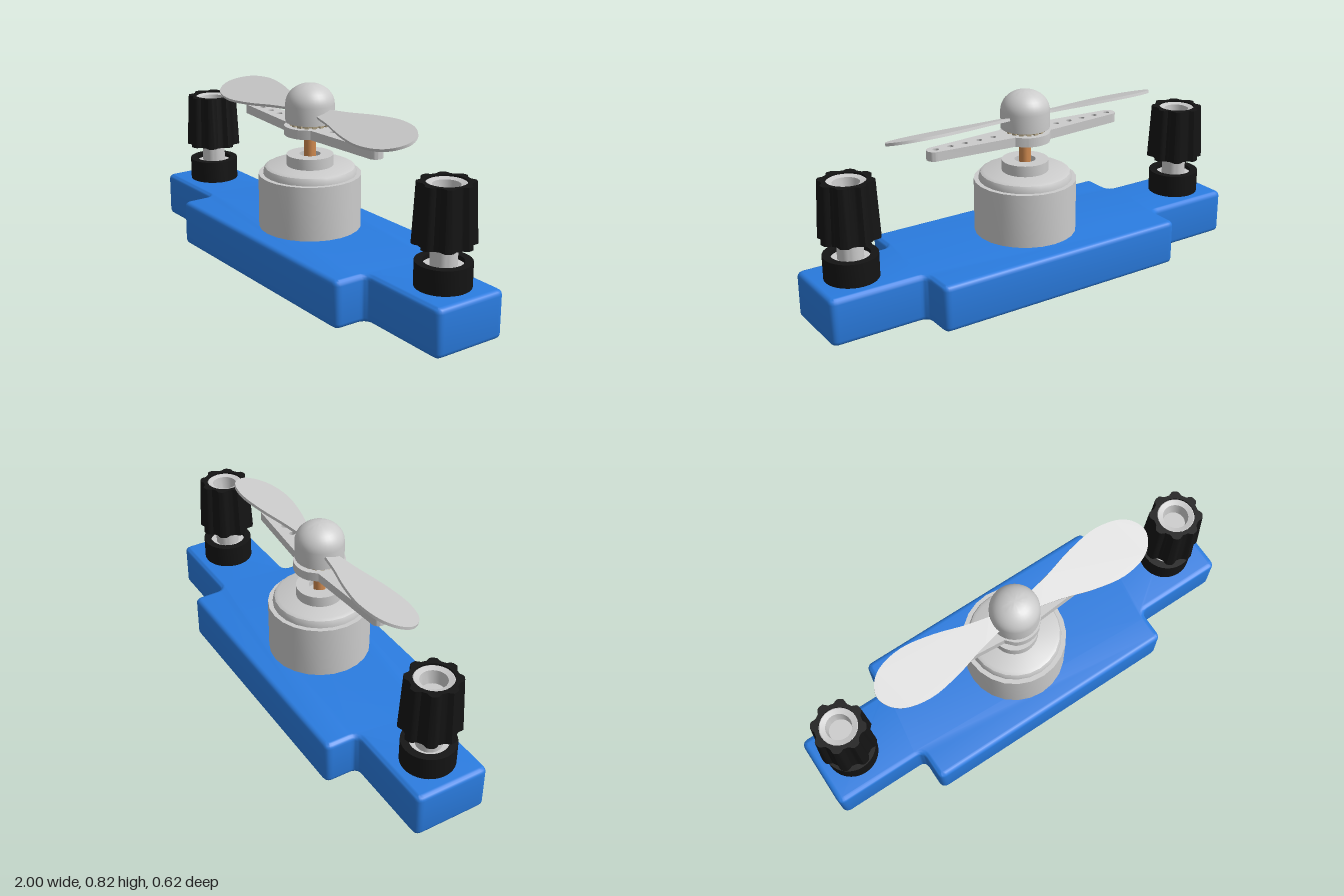
import * as THREE from 'three';
import { toCreasedNormals } from 'three/addons/utils/BufferGeometryUtils.js';

const material = (color) => new THREE.MeshStandardMaterial({ color });
const grey = material(0xcccccc);
const blue = material(0x2a7ce0);
const black = material(0x141414);
const copper = material(0xd08a50);
const brass = material(0xb8aa8c);

function part(name, geometry, mat, crease = 0.6) {
  const mesh = new THREE.Mesh(toCreasedNormals(geometry, crease), mat);
  mesh.name = name;
  return mesh;
}

function lathe(name, profile, mat, segments = 32) {
  const points = profile.map(([r, y]) => new THREE.Vector2(r, y));
  return part(name, new THREE.LatheGeometry(points, segments), mat);
}

// Flat plate lying in the xz plane, from y to y + height, with an optional bevel
function plate(shape, y, height, bevel = 0, curveSegments = 12) {
  return new THREE.ExtrudeGeometry(shape, {
    depth: height - 2 * bevel, curveSegments,
    bevelEnabled: bevel > 0, bevelSize: bevel, bevelThickness: bevel,
    bevelOffset: -bevel, bevelSegments: 4,
  }).rotateX(-Math.PI / 2).translate(0, y + bevel, 0);
}

// Polygon with every corner rounded off
function roundedPolygon(corners, radius) {
  const shape = new THREE.Shape();
  const pts = corners.map(([x, y]) => new THREE.Vector2(x, y));
  pts.forEach((p, i) => {
    const before = pts[(i + pts.length - 1) % pts.length];
    const after = pts[(i + 1) % pts.length];
    const a = before.clone().sub(p).setLength(radius).add(p);
    const b = after.clone().sub(p).setLength(radius).add(p);
    if (i === 0) shape.moveTo(a.x, a.y); else shape.lineTo(a.x, a.y);
    shape.quadraticCurveTo(p.x, p.y, b.x, b.y);
  });
  shape.closePath();
  return shape;
}

function circleHole(x, y, r) {
  const hole = new THREE.Path();
  hole.absarc(x, y, r, 0, Math.PI * 2, true);
  return hole;
}

function createBase() {
  const outline = roundedPolygon([
    [-1, -0.165], [-0.585, -0.165], [-0.585, -0.31], [0.585, -0.31],
    [0.585, -0.165], [1, -0.165], [1, 0.165], [0.585, 0.165],
    [0.585, 0.31], [-0.585, 0.31], [-0.585, 0.165], [-1, 0.165],
  ], 0.032);
  return part('base', plate(outline, 0, 0.2, 0.022, 5), blue, 1);
}

function createTerminal(x) {
  const group = new THREE.Group();
  group.name = 'terminal';
  group.position.set(x, 0, -0.005);

  group.add(lathe('collar', [[0.112, 0.19], [0.112, 0.3], [0.08, 0.3], [0.08, 0.28]], black));
  group.add(lathe('collarInsert', [[0.082, 0.282], [0.053, 0.282]], grey));
  group.add(lathe('post', [[0.053, 0.2], [0.053, 0.4]], grey));

  // Tapered cap with eight grip ribs
  const cap = new THREE.Shape();
  const steps = 96;
  for (let i = 0; i < steps; i++) {
    const a = (i / steps) * Math.PI * 2;
    const wave = Math.cos(8 * (a - 0.18));
    const r = 0.116 + 0.009 * Math.max(-1, Math.min(1, wave * 1.6));
    if (i === 0) cap.moveTo(r, 0);
    else cap.lineTo(r * Math.cos(a), r * Math.sin(a));
  }
  cap.closePath();
  cap.holes.push(circleHole(0, 0, 0.088));
  const geometry = plate(cap, 0.37, 0.24);
  const pos = geometry.attributes.position;
  for (let i = 0; i < pos.count; i++) {
    const s = 1 - 0.1 * (pos.getY(i) - 0.37) / 0.24;
    pos.setX(i, pos.getX(i) * s);
    pos.setZ(i, pos.getZ(i) * s);
  }
  group.add(part('cap', geometry, black));
  group.add(lathe('capFloor', [[0, 0.372], [0.092, 0.372], [0.092, 0.38]], black));
  group.add(lathe('socket', [
    [0.082, 0.6], [0.076, 0.604], [0.054, 0.598], [0.048, 0.54], [0, 0.54],
  ], grey));
  return group;
}

function createMotor() {
  const group = new THREE.Group();
  group.name = 'motor';
  group.add(lathe('motorCan', [
    [0.22, 0.19], [0.22, 0.434], [0.2, 0.434], [0.198, 0.45],
    [0.192, 0.463], [0.178, 0.47], [0, 0.47],
  ], grey, 24));
  group.add(lathe('bearing', [[0.1, 0.465], [0.1, 0.517], [0.045, 0.517], [0.045, 0.49], [0, 0.49]], grey));
  group.add(lathe('shaft', [[0.026, 0.48], [0.026, 0.67]], copper, 20));
  return group;
}

// Drilled cross arm with a round middle and narrow ends
function createArm() {
  const middle = 0.11, end = 0.032, length = 0.472;
  const shape = new THREE.Shape();
  const a = 1.0;
  shape.absarc(length - end, 0, end, -Math.PI / 2, Math.PI / 2, false);
  shape.lineTo(middle * Math.cos(a) + 0.03, 0.06);
  shape.absarc(0, 0, middle, a, Math.PI - a, false);
  shape.lineTo(-middle * Math.cos(a) - 0.03, 0.06);
  shape.absarc(-length + end, 0, end, Math.PI / 2, Math.PI * 1.5, false);
  shape.lineTo(-middle * Math.cos(a) - 0.03, -0.06);
  shape.absarc(0, 0, middle, Math.PI + a, Math.PI * 2 - a, false);
  shape.lineTo(middle * Math.cos(a) + 0.03, -0.06);
  shape.closePath();
  for (const side of [-1, 1]) {
    for (let i = 0; i < 5; i++) shape.holes.push(circleHole(side * (0.16 + i * 0.068), 0, 0.013));
  }
  return part('arm', plate(shape, 0.605, 0.04), grey);
}

function createPropeller() {
  const group = new THREE.Group();
  group.name = 'propeller';

  // Both blades in one outline, pitched down towards the front
  const half = [[0.1, 0.036], [0.2, 0.058], [0.33, 0.095], [0.47, 0.115], [0.58, 0.092], [0.63, 0.05]];
  const right = [...half, [0.648, 0], ...half.map(([x, y]) => [x, -y]).reverse()];
  const left = right.map(([x, y]) => [-x, -y]);
  const outline = [right, left].flatMap((side) =>
    new THREE.CatmullRomCurve3(side.map(([x, y]) => new THREE.Vector3(x, y, 0)))
      .getPoints(48).map((p) => new THREE.Vector2(p.x, p.y)));
  const blades = part('blades', plate(new THREE.Shape(outline), -0.006, 0.012), grey);
  blades.rotation.x = 0.29;
  blades.position.y = 0.707;
  group.add(blades);

  // Domed hub
  const hub = [[0, 0.66], [0.104, 0.66]];
  for (let i = 0; i <= 10; i++) {
    const a = (i / 10) * Math.PI / 2;
    hub.push([0.104 * Math.cos(a), 0.735 + 0.087 * Math.sin(a)]);
  }
  group.add(lathe('hub', hub, grey));

  // Toothed ring under the hub
  group.add(lathe('toothRing', [[0.074, 0.64], [0.074, 0.665]], brass));
  for (let i = 0; i < 16; i++) {
    const a = (i / 16) * Math.PI * 2;
    const tooth = part('tooth', new THREE.BoxGeometry(0.02, 0.022, 0.018), brass);
    tooth.position.set(0.076 * Math.cos(a), 0.653, 0.076 * Math.sin(a));
    tooth.rotation.y = -a;
    group.add(tooth);
  }
  return group;
}

export function createModel() {
  const model = new THREE.Group();
  model.name = 'propellerMotor';
  model.add(createBase());
  for (const x of [-0.835, 0.832]) model.add(createTerminal(x));

  const drive = new THREE.Group();
  drive.name = 'drive';
  drive.position.set(-0.004, 0, 0.01);
  drive.add(createMotor(), createArm(), createPropeller());
  model.add(drive);
  return model;
}
